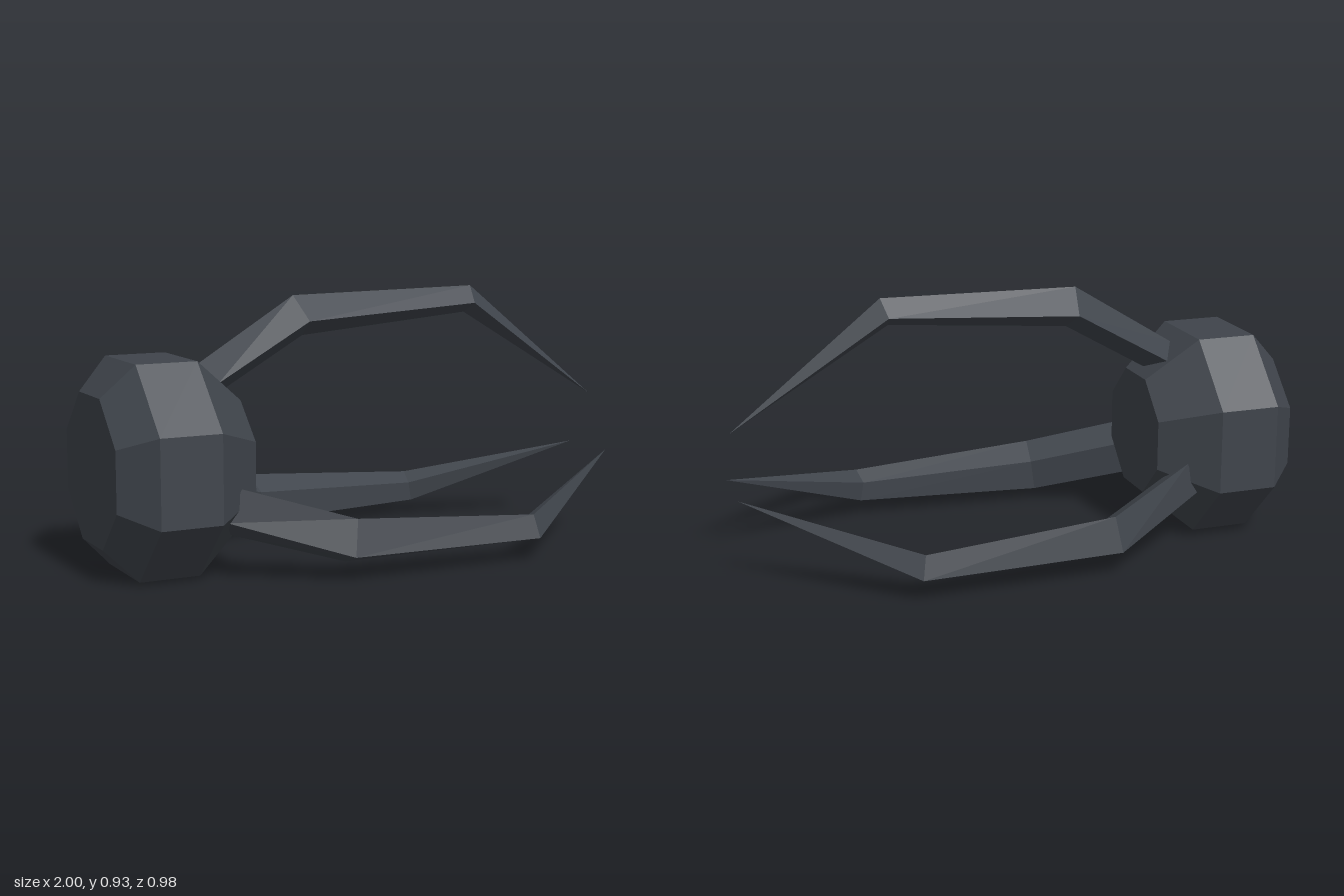
import * as THREE from 'three';

const CENTRE_Y = 0.363;

// Closed four-sided spike: kite sections [outer, side, inner], each [x, radius], plus half width
function clawGeometry() {
  const sections = [
    { outer: [-0.63, 0.325], side: [-0.58, 0.277], inner: [-0.53, 0.237], w: 0.1 },
    { outer: [-0.255, 0.556], side: [-0.235, 0.471], inner: [-0.22, 0.415], w: 0.095 },
    { outer: [0.462, 0.567], side: [0.447, 0.507], inner: [0.435, 0.471], w: 0.06 },
    { outer: [1, 0.135], side: [1, 0.135], inner: [1, 0.135], w: 0 },
  ];
  const positions = [];
  for (const { outer, side, inner, w } of sections) {
    positions.push(...outer, 0, ...side, w, ...inner, 0, ...side, -w);
  }
  const index = [0, 2, 1, 0, 3, 2]; // root cap
  const last = sections.length - 2;
  for (let i = 0; i <= last; i++) {
    for (let j = 0; j < 4; j++) {
      const a = i * 4 + j, b = i * 4 + (j + 1) % 4;
      index.push(a, b, a + 4);
      if (i < last) index.push(b, b + 4, a + 4); // tip closes to a point
    }
  }
  const indexed = new THREE.BufferGeometry();
  indexed.setAttribute('position', new THREE.Float32BufferAttribute(positions, 3));
  indexed.setIndex(index);
  const geometry = indexed.toNonIndexed();
  geometry.computeVertexNormals();
  return geometry;
}

// Octagonal hub with bevelled ends, turned around the x axis
function hubGeometry() {
  const profile = [[0, -1], [0.252, -1], [0.363, -0.89], [0.363, -0.675], [0.214, -0.495], [0, -0.495]];
  const points = profile.map(([apothem, x]) => new THREE.Vector2(apothem / Math.cos(Math.PI / 8), x));
  const geometry = new THREE.LatheGeometry(points, 8, Math.PI / 8);
  geometry.rotateZ(-Math.PI / 2);
  return geometry;
}

export function createModel() {
  const model = new THREE.Group();
  model.name = 'clawGripper';
  const darkMetal = new THREE.MeshStandardMaterial({ color: 0x3f444b, flatShading: true });
  darkMetal.name = 'darkMetal';

  const hub = new THREE.Mesh(hubGeometry(), darkMetal);
  hub.name = 'hub';
  hub.position.y = CENTRE_Y;
  model.add(hub);

  // Three claws spaced evenly around the hub
  const geometry = clawGeometry();
  ['topClaw', 'frontClaw', 'backClaw'].forEach((name, i) => {
    const claw = new THREE.Mesh(geometry, darkMetal);
    claw.name = name;
    claw.position.y = CENTRE_Y;
    claw.rotation.x = (i * 2 * Math.PI) / 3;
    model.add(claw);
  });
  return model;
}
